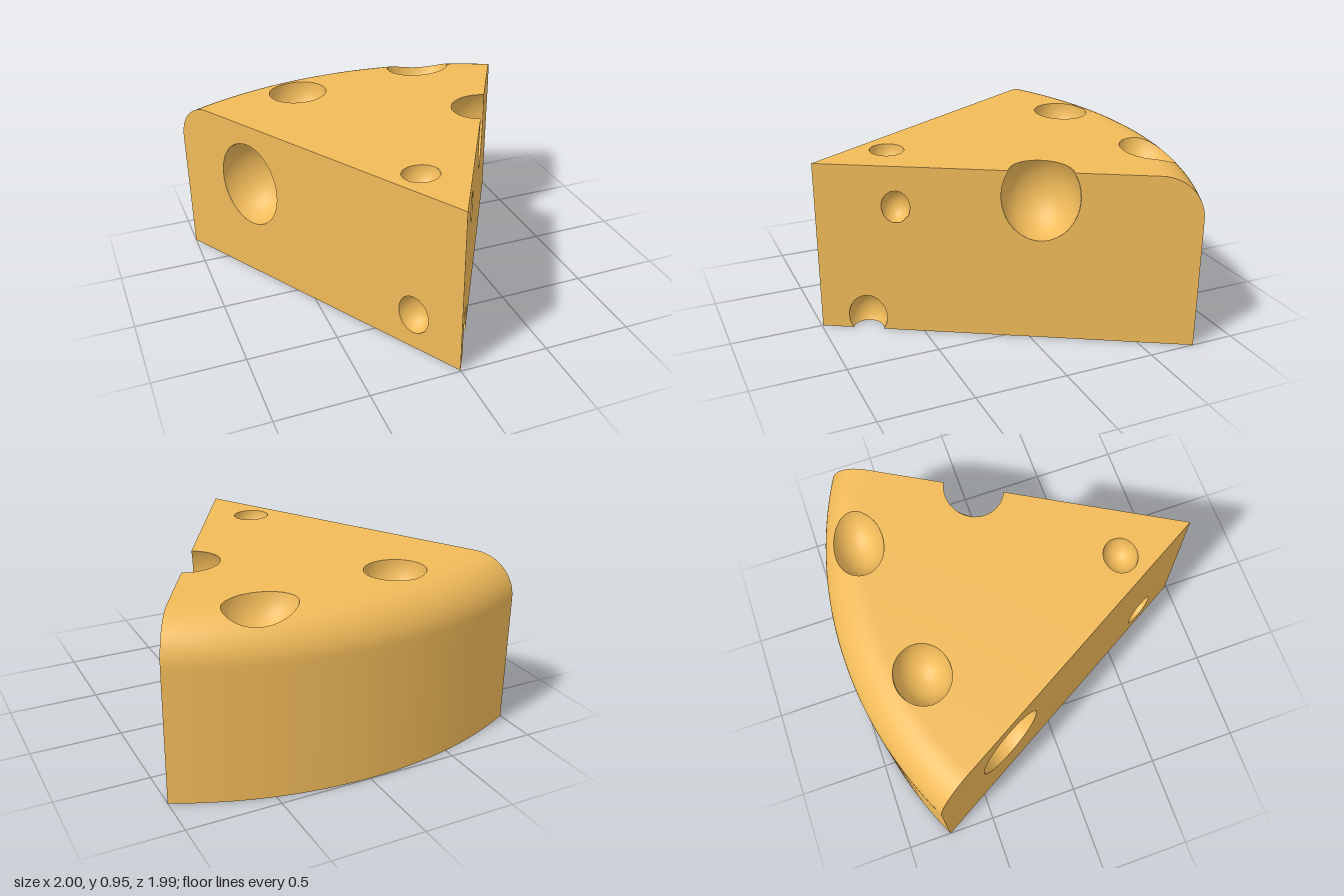
import * as THREE from 'three';
import { mergeVertices } from 'three/addons/utils/BufferGeometryUtils.js';

const H = 0.95;              // height of the wedge
const TIP = 0.993;           // z of the pointed end
const SLOPE = 1.75;          // cut faces: z = TIP - SLOPE * |x|
const ARC_Z = 1.235;         // centre of the rind arc
const ARC_R = 2.23;
const FILLET = 0.225;        // rounding of the upper rind edge
const lerp = THREE.MathUtils.lerp;

// Holes as [x, y, z, rx, ry, rz]; most are one size stretched the same way
const bubble = (x, y, z, r) => [x, y, z, r, r * 1.09, r * 0.9];
const onCut = (x, y, r) => bubble(x, y, TIP - SLOPE * Math.abs(x), r);
const HOLES = [
  bubble(-0.33, H, -0.625, 0.168),
  bubble(-0.055, H, 0.568, 0.102),
  [0.485, 0.99, -0.738, 0.198, 0.2, 0.148],
  bubble(-0.3, 0, -0.38, 0.165),
  onCut(0.59, 0.81, 0.222),
  onCut(0.215, 0.725, 0.083),
  onCut(0.128, 0.075, 0.115),
  onCut(-0.735, 0.58, 0.232),
  onCut(-0.153, 0.21, 0.105),
];

// Positive outside one hole
const outsideHole = ([x, y, z, rx, ry, rz]) => (p) =>
  Math.hypot((p.x - x) / rx, (p.y - y) / ry, (p.z - z) / rz) - 1;

// Positive inside each boundary of the solid wedge
const INSIDE = [
  (p) => p.y,
  (p) => TIP - SLOPE * p.x - p.z,
  (p) => TIP + SLOPE * p.x - p.z,
  (p) => {
    const a = Math.hypot(p.x, p.z - ARC_Z) - (ARC_R - FILLET);
    const b = p.y - (H - FILLET);
    return FILLET - (a > 0 && b > 0 ? Math.hypot(a, b) : Math.max(a, b));
  },
];

// Point between a and b where the field changes sign
function crossing(a, b, field) {
  const startsIn = field(a) > 0;
  let lo = 0, hi = 1;
  const p = new THREE.Vector3();
  for (let i = 0; i < 18; i++) {
    const mid = (lo + hi) / 2;
    p.lerpVectors(a, b, mid);
    if ((field(p) > 0) === startsIn) lo = mid; else hi = mid;
  }
  return p;
}

// Keep only the parts of the triangles where the field is positive
function clip(triangles, field) {
  const out = [];
  for (const tri of triangles) {
    const keep = tri.map((p) => field(p) > 0);
    if (keep.every(Boolean)) { out.push(tri); continue; }
    if (!keep.some(Boolean)) continue;
    const poly = [];
    for (let i = 0; i < 3; i++) {
      const j = (i + 1) % 3;
      if (keep[i]) poly.push(tri[i]);
      if (keep[i] !== keep[j]) poly.push(crossing(tri[i], tri[j], field));
    }
    for (let i = 2; i < poly.length; i++) out.push([poly[0], poly[i - 1], poly[i]]);
  }
  return out;
}

// Triangles of a surface sampled at point(u index, v index)
function patch(point, nu, nv) {
  const tris = [];
  for (let i = 0; i < nu; i++) {
    for (let j = 0; j < nv; j++) {
      const a = point(i, j), b = point(i + 1, j), c = point(i + 1, j + 1), d = point(i, j + 1);
      tris.push([a, b, c], [a, c, d]);
    }
  }
  return tris;
}

// Point on the rind arc moved inwards by inset; u runs -1..1 between the cut faces
function rim(inset, u, y, k = 1) {
  const r = ARC_R - inset;
  const g = ARC_Z - TIP;
  const A = 1 + SLOPE * SLOPE, B = 2 * SLOPE * g, C = g * g - r * r;
  const x = u * (-B + Math.sqrt(B * B - 4 * A * C)) / (2 * A);
  const z = ARC_Z - Math.sqrt(r * r - x * x);
  return new THREE.Vector3(x * k, y, lerp(TIP, z, k));
}

function toMesh(name, triangles, material) {
  const geo = new THREE.BufferGeometry().setFromPoints(triangles.flat());
  const merged = mergeVertices(geo, 1e-5);
  merged.computeVertexNormals();
  const mesh = new THREE.Mesh(merged, material);
  mesh.name = name;
  return mesh;
}

export function createModel() {
  const model = new THREE.Group();
  model.name = 'cheeseWedge';
  const material = new THREE.MeshStandardMaterial({ color: 0xf0ba59 });
  const pierce = (tris) => HOLES.reduce((t, h) => clip(t, outsideHole(h)), tris);

  // Rind section from the top of the rounding down to the base: [inset, y]
  const section = [];
  for (let i = 0; i <= 14; i++) {
    const a = (i / 14) * Math.PI / 2;
    section.push([FILLET * (1 - Math.sin(a)), H - FILLET * (1 - Math.cos(a))]);
  }
  for (let i = 1; i <= 16; i++) section.push([0, (H - FILLET) * (1 - i / 16)]);

  // Flat top running smoothly into the rounded rind
  const NU = 56, NK = 44;
  const topAndRind = patch((i, j) => {
    const u = (i / NU) * 2 - 1;
    if (j < NK) return rim(FILLET, u, H, j / NK);
    const [inset, y] = section[j - NK];
    return rim(inset, u, y);
  }, NU, NK + section.length - 1);
  model.add(toMesh('topAndRind', pierce(topAndRind), material));

  // Underside
  const base = patch((i, j) => rim(0, (i / NU) * 2 - 1, 0, 1 - j / NK), NU, NK);
  model.add(toMesh('underside', pierce(base), material));

  // Two cut faces, mirrored
  for (const side of [1, -1]) {
    const cut = patch((i, j) => {
      const [inset, y] = section[j];
      return rim(inset, side, y, side > 0 ? 1 - i / NK : i / NK);
    }, NK, section.length - 1);
    model.add(toMesh(side > 0 ? 'leftCutFace' : 'rightCutFace', pierce(cut), material));
  }

  // Hollow bubbles: inward-facing ellipsoids trimmed to the wedge
  const holes = new THREE.Group();
  holes.name = 'holes';
  HOLES.forEach(([x, y, z, rx, ry, rz], n) => {
    const point = (i, j) => {
      const a = -((i % 48) / 48) * Math.PI * 2, b = (j / 28) * Math.PI;
      return new THREE.Vector3(
        x + rx * Math.sin(b) * Math.cos(a), y + ry * Math.cos(b), z + rz * Math.sin(b) * Math.sin(a));
    };
    const tris = INSIDE.reduce(clip, patch(point, 48, 28));
    holes.add(toMesh(`hole${n + 1}`, tris, material));
  });
  model.add(holes);
  return model;
}
